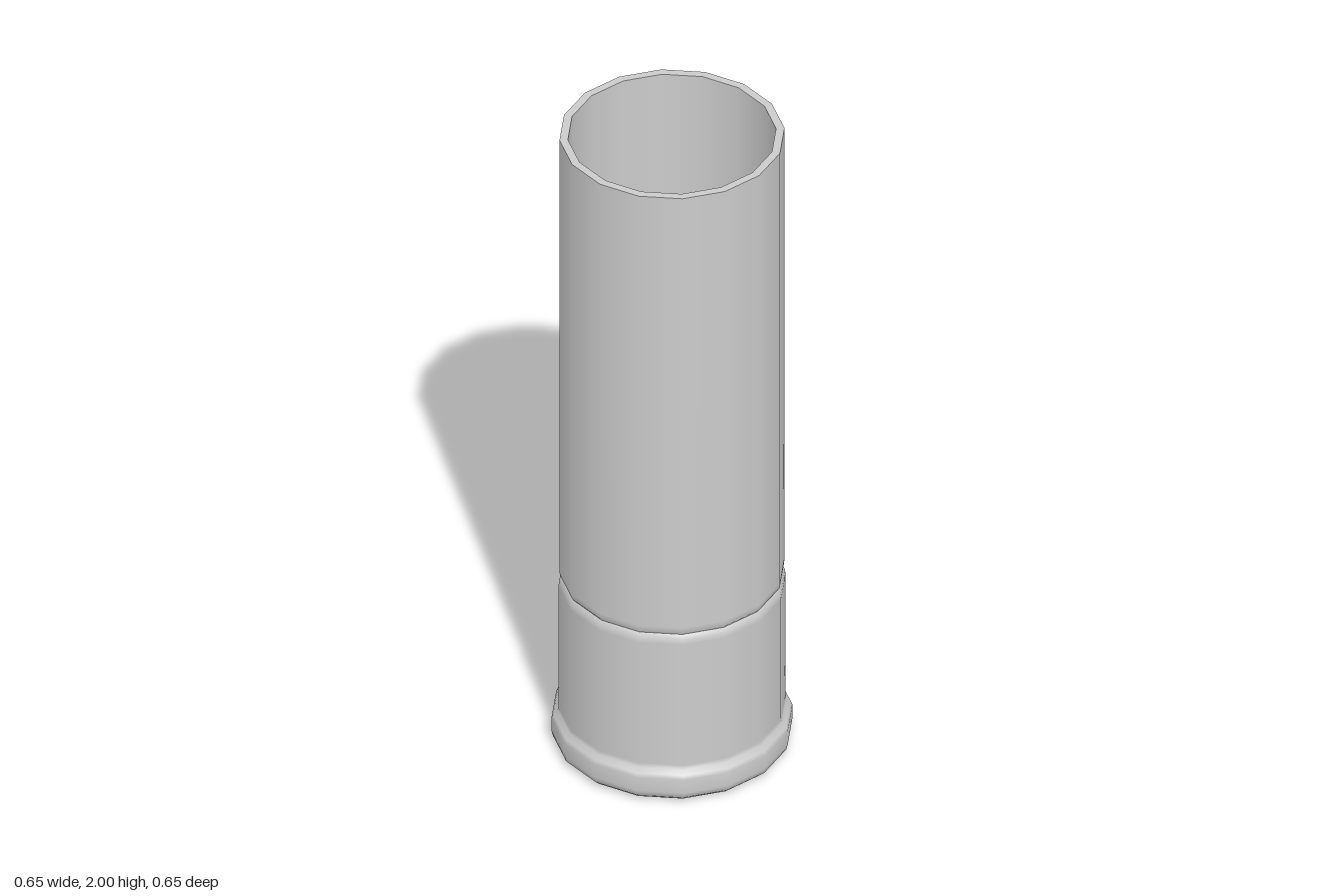
import * as THREE from 'three';

const SIDES = 16;

export function createModel() {
  const group = new THREE.Group();
  const material = new THREE.MeshStandardMaterial({ color: 0xcccccc });

  // Each profile is a list of [radius, height]; separate profiles keep a sharp edge between them
  const turned = (name, ...profiles) => {
    const part = new THREE.Group();
    part.name = name;
    for (const profile of profiles) {
      const points = profile.map(([r, y]) => new THREE.Vector2(r, y));
      const mesh = new THREE.Mesh(new THREE.LatheGeometry(points, SIDES, Math.PI / SIDES), material);
      mesh.name = name + 'Surface';
      part.add(mesh);
    }
    group.add(part);
  };

  // Centre cap set into the underside
  turned('primer', [[0, 0.006], [0.11, 0.006], [0.12, 0.009], [0.124, 0.018]]);

  // Base cup: underside with a groove round the primer, rounded rim, wall and rolled top edge
  turned('baseCup', [
    [0.124, 0.018], [0.14, 0.016], [0.155, 0.006], [0.18, 0], [0.29, 0], [0.312, 0.005],
    [0.326, 0.018], [0.33, 0.035], [0.33, 0.078], [0.325, 0.09], [0.313, 0.102], [0.311, 0.115],
    [0.311, 0.515], [0.309, 0.53], [0.302, 0.543], [0.298, 0.545],
  ]);

  // Open tube: outer wall, lip, inner wall and inside floor
  turned('tube',
    [[0.298, 0.54], [0.307, 0.552], [0.308, 0.57], [0.308, 2]],
    [[0.308, 2], [0.285, 2]],
    [[0.285, 2], [0.285, 0.1]],
    [[0.285, 0.1], [0, 0.1]]);

  return group;
}
